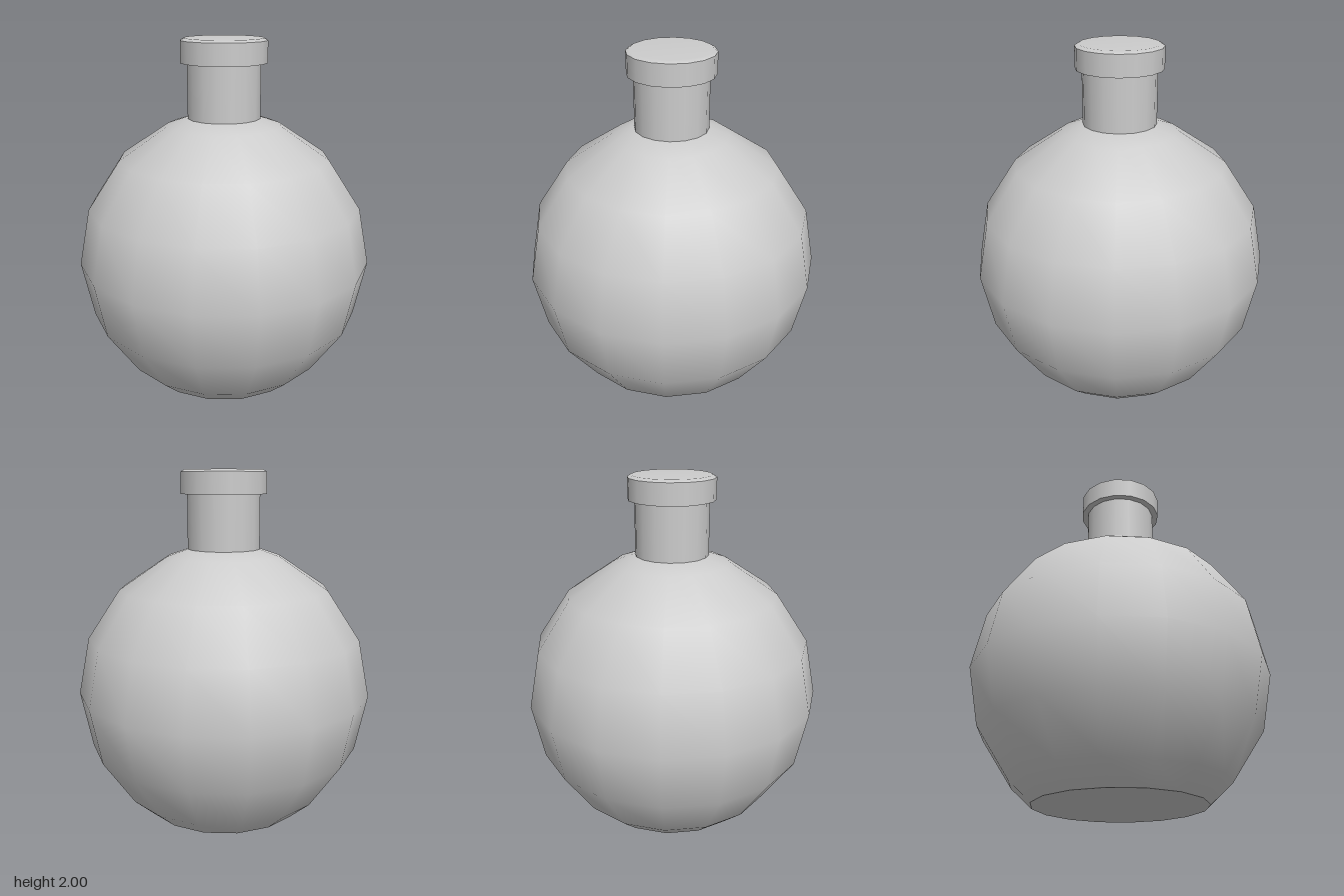
import * as THREE from 'three';

const SIDES = 16;
const R = 0.86;          // body radius
const CENTRE_Y = 0.72;   // body centre height

export function createModel() {
  const flask = new THREE.Group();
  flask.name = 'roundFlask';
  const material = new THREE.MeshStandardMaterial({ color: 0xcccccc });

  const add = (name, geometry, parent = flask) => {
    const mesh = new THREE.Mesh(geometry, material);
    mesh.name = name;
    parent.add(mesh);
    return mesh;
  };
  // Profile points run from bottom to top, as [radius, height]
  const lathe = (points) =>
    new THREE.LatheGeometry(points.map(([r, y]) => new THREE.Vector2(r, y)), SIDES);

  // Spherical body, cut flat where it stands
  const profile = [[0.485, 0]];
  for (let i = -2; i <= 4; i++) {
    const a = (i * Math.PI) / 8;
    profile.push([Math.max(0, R * Math.cos(a)), CENTRE_Y + R * Math.sin(a)]);
  }
  // The shoulder rises a little to meet the neck
  profile.splice(-1, 1, [0.21, 1.555], [0, 1.58]);
  add('body', lathe(profile));

  // Flat underside
  add('base', lathe([[0, 0], [0.485, 0]]));

  // Neck
  add('neck', lathe([[0.21, 1.5], [0.21, 1.88]]));

  // Stopper: underside, straight wall and softly chamfered top
  const stopper = new THREE.Group();
  stopper.name = 'stopper';
  flask.add(stopper);
  add('stopperUnderside', lathe([[0, 1.865], [0.247, 1.865]]), stopper);
  add('stopperWall', lathe([[0.247, 1.865], [0.247, 1.987]]), stopper);
  add('stopperTop', lathe([[0.247, 1.987], [0.225, 2], [0, 2]]), stopper);

  return flask;
}
